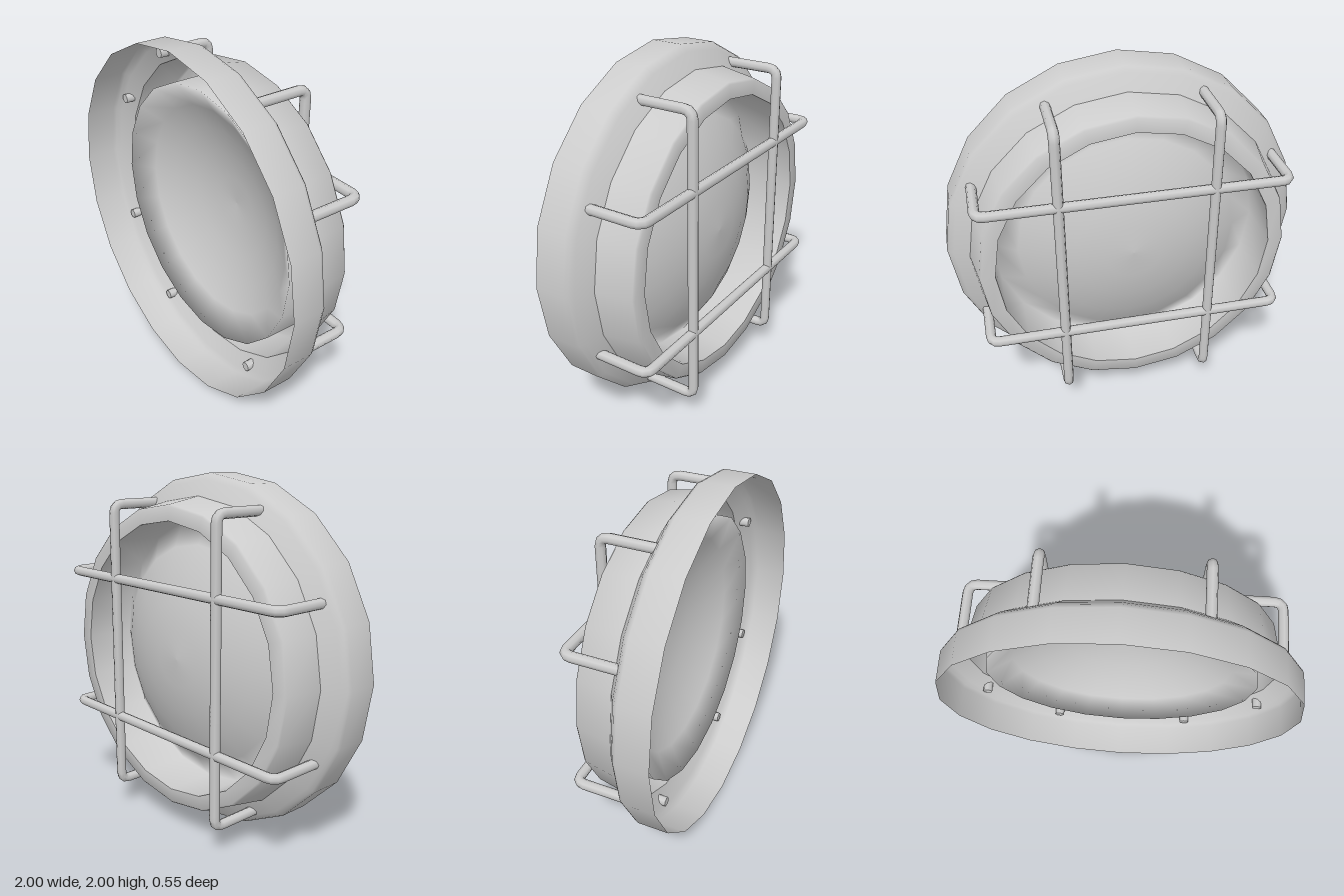
import * as THREE from 'three';
import { toCreasedNormals } from 'three/addons/utils/BufferGeometryUtils.js';

const SIDES = 20;
const BAR_RADIUS = 0.028;

// Spin a profile of [radius, z] points around the z axis
function turned(points) {
  const profile = points.map(([r, z]) => new THREE.Vector2(r, z));
  return new THREE.LatheGeometry(profile, SIDES).rotateX(Math.PI / 2);
}

// U-shaped wire with two short legs and rounded corners, lying in the yz plane
function guardPath() {
  const reach = 0.825, back = -0.246, foot = 0.08, bend = 0.05;
  const v = (y, z) => new THREE.Vector3(0, y, z);
  const path = new THREE.CurvePath();
  path.add(new THREE.LineCurve3(v(reach, foot), v(reach, back + bend)));
  path.add(new THREE.QuadraticBezierCurve3(v(reach, back + bend), v(reach, back), v(reach - bend, back)));
  path.add(new THREE.LineCurve3(v(reach - bend, back), v(bend - reach, back)));
  path.add(new THREE.QuadraticBezierCurve3(v(bend - reach, back), v(-reach, back), v(-reach, back + bend)));
  path.add(new THREE.LineCurve3(v(-reach, back + bend), v(-reach, foot)));
  return { path, reach, foot };
}

export function createModel() {
  const group = new THREE.Group();
  const material = new THREE.MeshStandardMaterial({ color: 0xcccccc, side: THREE.DoubleSide });

  const add = (parent, name, geometry) => {
    const mesh = new THREE.Mesh(geometry, material);
    mesh.name = name;
    parent.add(mesh);
    return mesh;
  };

  // Open housing: lip, tapered collar, sloped shoulder and outer rim
  const housing = turned([
    [0.76, -0.2], [0.836, -0.2], [0.846, -0.19], [0.88, 0.01],
    [0.965, 0.06], [0.99, 0.08], [1, 0.1], [1, 0.274],
  ]);
  add(group, 'housing', toCreasedNormals(housing, 0.82)).position.y = 1;

  // Lens: straight cup wall closed by a spherical dome that bulges to the back
  const lensRadius = 0.76, lensFront = 0.1, sphere = 1.27;
  const sphereZ = lensFront + Math.sqrt(sphere ** 2 - lensRadius ** 2);
  const dome = [lensRadius, 0.62, 0.48, 0.32, 0.16, 0]
    .map((r) => [r, sphereZ - Math.sqrt(sphere ** 2 - r ** 2)]);
  add(group, 'lens', turned([[lensRadius, -0.2], ...dome])).position.y = 1;

  // Crossed wire guard: two upright and two level bars
  const { path, reach, foot } = guardPath();
  const wire = new THREE.TubeGeometry(path, 90, BAR_RADIUS, 8, false);
  const cap = new THREE.CircleGeometry(BAR_RADIUS, 8);
  for (const turn of [0, Math.PI / 2]) {
    for (const side of [-1, 1]) {
      const bar = new THREE.Group();
      bar.name = turn ? 'levelGuardBar' : 'uprightGuardBar';
      add(bar, 'wire', wire).position.x = side * 0.412;
      for (const end of [-1, 1]) {
        add(bar, 'wireEnd', cap).position.set(side * 0.412, end * reach, foot);
      }
      bar.rotation.z = turn;
      bar.position.y = 1;
      group.add(bar);
    }
  }

  return group;
}
